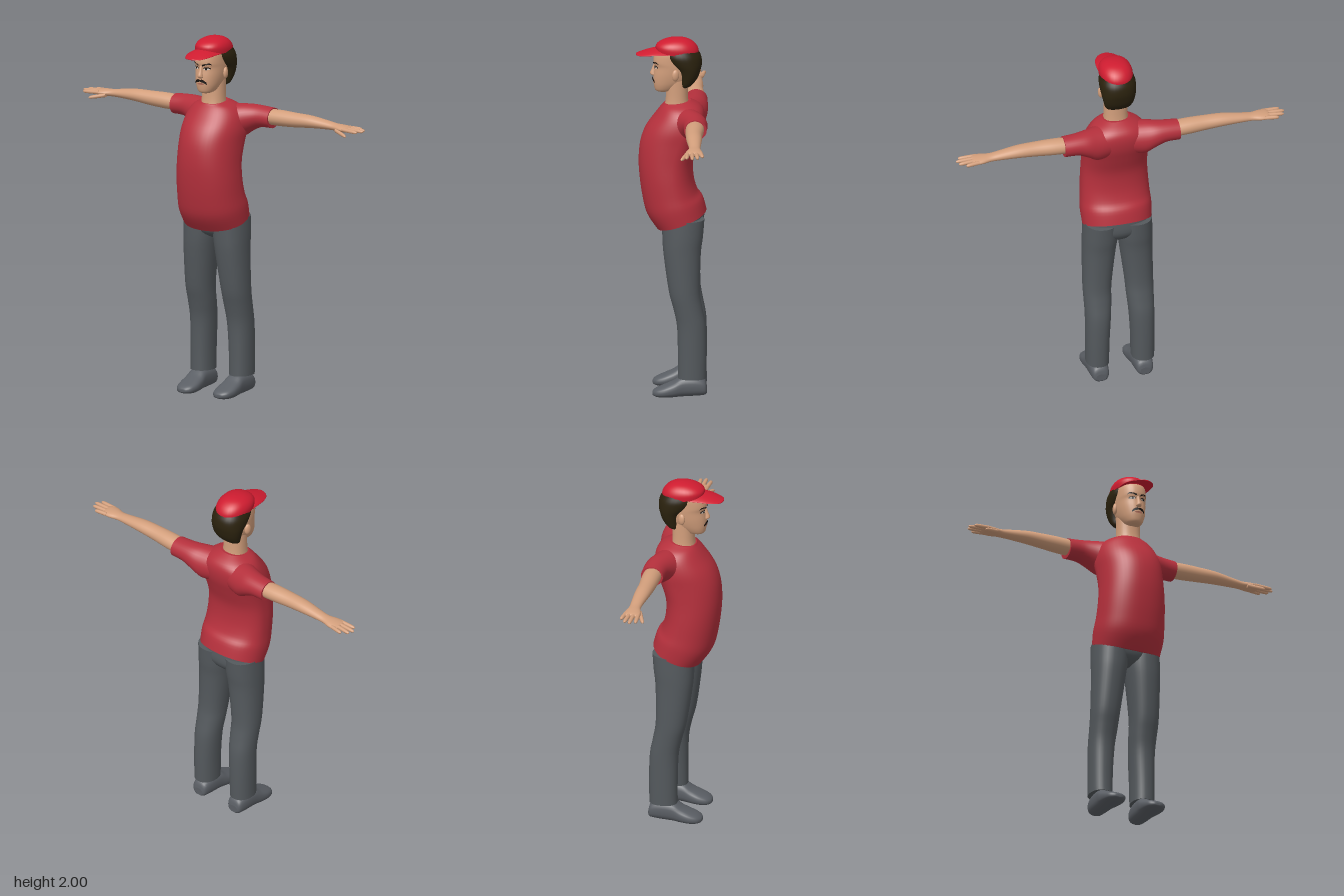
import * as THREE from 'three';

const material = (name, color) => Object.assign(new THREE.MeshStandardMaterial({ color }), { name });

// Signed power for rounded-square cross-sections
const sp = (v, e) => Math.sign(v) * Math.pow(Math.abs(v), 2 / e);

// Ring makers: one cross-section from one row of numbers
const yRing = ([y, cx, rx, front, back, slope = 0, w = 0.5], a) => {
  const zc = back + (front - back) * w;
  const s = sp(Math.sin(a), 2.2);
  const dz = s * (s > 0 ? front - zc : zc - back);
  return [cx + rx * sp(Math.cos(a), 2.2), y + slope * dz, zc + dz];
};
const xRing = ([x, y, z, ry, rz], a) => [x, y + ry * Math.cos(a), z - rz * Math.sin(a)];
const zRing = ([z, cx, rx, top, bottom], a) => [
  cx + rx * sp(Math.cos(a), 2.5), (top + bottom) / 2 - ((top - bottom) / 2) * sp(Math.sin(a), 2.5), z];

// Smoothly interpolates rows, then skins rings and closes both ends
function loft(ring, rows, n = 32, steps = 4) {
  const dense = [];
  const cr = (a, b, c, d, t) => b + 0.5 * t * (c - a + t * (2 * a - 5 * b + 4 * c - d + t * (3 * (b - c) + d - a)));
  for (let i = 0; i < rows.length - 1; i++) {
    const [a, b, c, d] = [rows[Math.max(i - 1, 0)], rows[i], rows[i + 1], rows[Math.min(i + 2, rows.length - 1)]];
    for (let k = 0; k < steps; k++) dense.push(b.map((v, j) => cr(a[j], v, c[j], d[j], k / steps)));
  }
  dense.push(rows[rows.length - 1]);
  const pos = [], index = [];
  const addRing = (row) => {
    for (let j = 0; j < n; j++) pos.push(...ring(row, (j / n) * Math.PI * 2));
  };
  dense.forEach(addRing);
  for (let i = 0; i < dense.length - 1; i++) {
    for (let j = 0; j < n; j++) {
      const a = i * n + j, b = i * n + (j + 1) % n;
      index.push(a, a + n, b, b, a + n, b + n);
    }
  }
  for (const end of [0, 1]) {
    const base = pos.length / 3;
    addRing(dense[end ? dense.length - 1 : 0]);
    for (let j = 1; j < n - 1; j++) {
      if (end) index.push(base, base + j + 1, base + j);
      else index.push(base, base + j, base + j + 1);
    }
  }
  const g = new THREE.BufferGeometry();
  g.setAttribute('position', new THREE.Float32BufferAttribute(pos, 3));
  g.setIndex(index);
  g.computeVertexNormals();
  return g;
}

// Copy reflected across x = 0 with its faces turned the right way
function mirrored(geometry) {
  const g = geometry.clone().scale(-1, 1, 1);
  const ix = g.index.array;
  for (let i = 0; i < ix.length; i += 3) [ix[i], ix[i + 1]] = [ix[i + 1], ix[i]];
  g.computeVertexNormals();
  return g;
}

export function createModel() {
  const model = new THREE.Group();
  model.name = 'standingMan';
  const shirt = material('shirtRed', 0xb5303c);
  const capRed = material('capRed', 0xcf1c30);
  const trousers = material('trouserGrey', 0x54595d);
  const shoeGrey = material('shoeGrey', 0x5a5e64);
  const skin = material('skin', 0xd39f7c);
  const hairBrown = material('hairBrown', 0x2b220e);
  const black = material('featureBlack', 0x17110d);
  const white = material('eyeWhite', 0xd9d0c6);
  const lip = material('lip', 0xb0705c);

  const add = (name, geometry, mat) => {
    const mesh = new THREE.Mesh(geometry, mat);
    mesh.name = name;
    model.add(mesh);
    return mesh;
  };
  const addPair = (name, geometry, mat) => {
    add('left' + name, geometry, mat);
    add('right' + name, mirrored(geometry), mat);
  };

  // Shirt: slanted hem, full belly, hollow lower back
  add('shirtBody', loft(yRing, [
    [0.98, 0, 0.192, 0.08, -0.19, -0.37, 0.5], [1.06, 0, 0.197, 0.135, -0.17, -0.28, 0.46],
    [1.13, 0, 0.192, 0.16, -0.14, -0.1, 0.42], [1.22, 0, 0.187, 0.175, -0.12, 0, 0.4],
    [1.32, 0, 0.181, 0.18, -0.12, 0, 0.38], [1.42, 0, 0.18, 0.17, -0.15, 0, 0.36],
    [1.5, 0, 0.182, 0.14, -0.175, 0, 0.34], [1.57, 0, 0.168, 0.09, -0.18, 0, 0.36],
    [1.615, 0, 0.13, 0.055, -0.16, 0, 0.45], [1.64, 0, 0.078, 0.042, -0.105, -0.12, 0.5],
  ], 48), shirt);
  addPair('Sleeve', loft(xRing, [
    [0.05, 1.53, -0.08, 0.09, 0.09], [0.13, 1.53, -0.1, 0.095, 0.09], [0.19, 1.55, -0.12, 0.076, 0.078],
    [0.25, 1.563, -0.13, 0.06, 0.066], [0.325, 1.562, -0.132, 0.056, 0.062],
  ]), shirt);

  // Bare arms, palms and fingers
  addPair('Arm', loft(xRing, [
    [0.28, 1.567, -0.13, 0.043, 0.05], [0.38, 1.57, -0.128, 0.044, 0.05], [0.48, 1.572, -0.125, 0.04, 0.045],
    [0.58, 1.575, -0.127, 0.034, 0.042], [0.68, 1.571, -0.13, 0.025, 0.034], [0.74, 1.567, -0.13, 0.02, 0.032],
    [0.79, 1.565, -0.128, 0.019, 0.045], [0.83, 1.565, -0.127, 0.014, 0.046], [0.845, 1.565, -0.127, 0.006, 0.038],
  ], 24), skin);
  const fingers = [
    // base x, base y, base z, tip x, tip y, tip z
    [0.81, 1.566, -0.163, 0.885, 1.564, -0.174], [0.82, 1.567, -0.14, 0.92, 1.564, -0.148],
    [0.82, 1.567, -0.117, 0.93, 1.564, -0.119], [0.81, 1.566, -0.093, 0.91, 1.562, -0.088],
    [0.765, 1.556, -0.095, 0.855, 1.538, -0.06],
  ];
  fingers.forEach(([x, y, z, tx, ty, tz], i) => {
    const rows = [[0, 0.011], [0.5, 0.0105], [0.88, 0.009], [1, 0.003]].map(([t, r]) =>
      [x + (tx - x) * t, y + (ty - y) * t, z + (tz - z) * t, r, r * 1.1]);
    addPair(i < 4 ? 'Finger' + (i + 1) : 'Thumb', loft(xRing, rows, 10, 2), skin);
  });

  // Trousers
  add('trouserSeat', loft(yRing, [
    [0.875, 0, 0.03, -0.02, -0.1], [0.905, 0, 0.12, 0.03, -0.145],
    [0.96, 0, 0.183, 0.05, -0.172], [1.06, 0, 0.175, 0.05, -0.16],
  ]), trousers);
  addPair('TrouserLeg', loft(yRing, [
    [0.11, 0.128, 0.063, -0.035, -0.19], [0.25, 0.127, 0.065, -0.035, -0.192], [0.4, 0.123, 0.07, -0.03, -0.188],
    [0.5, 0.12, 0.075, -0.01, -0.17], [0.6, 0.118, 0.079, 0.015, -0.156], [0.8, 0.105, 0.09, 0.043, -0.16],
    [0.9, 0.098, 0.096, 0.05, -0.172], [1.0, 0.095, 0.095, 0.052, -0.18],
  ]), trousers);

  // Shoes
  addPair('Shoe', loft(zRing, [
    [-0.193, 0.125, 0.028, 0.065, 0.025], [-0.18, 0.125, 0.045, 0.1, 0.015], [-0.13, 0.125, 0.053, 0.122, 0.01],
    [-0.06, 0.124, 0.056, 0.12, 0.006], [-0.01, 0.123, 0.061, 0.09, 0.002], [0.04, 0.122, 0.062, 0.067, 0],
    [0.08, 0.121, 0.05, 0.05, 0.003], [0.1, 0.12, 0.027, 0.036, 0.01], [0.104, 0.12, 0.01, 0.026, 0.016],
  ], 28), shoeGrey);

  // Neck and head
  add('neck', loft(yRing, [
    [1.6, 0, 0.072, 0.042, -0.1], [1.66, 0, 0.066, 0.032, -0.09], [1.77, 0, 0.066, 0.03, -0.09],
  ]), skin);
  const head = add('head', loft(yRing, [
    [1.698, 0, 0.026, 0.076, 0.02], [1.708, 0, 0.044, 0.09, -0.02], [1.735, 0, 0.059, 0.097, -0.06],
    [1.765, 0, 0.069, 0.1, -0.1], [1.8, 0, 0.076, 0.098, -0.12], [1.84, 0, 0.08, 0.093, -0.13],
    [1.87, 0, 0.081, 0.1, -0.13], [1.92, 0, 0.08, 0.09, -0.13], [1.95, 0, 0.068, 0.065, -0.11],
  ]), skin);
  add('nose', loft(yRing, [
    [1.785, 0, 0.009, 0.102, 0.08], [1.792, 0, 0.016, 0.114, 0.08], [1.803, 0, 0.014, 0.117, 0.08],
    [1.825, 0, 0.01, 0.108, 0.08], [1.855, 0, 0.007, 0.097, 0.08],
  ], 16), skin);
  addPair('Ear', new THREE.SphereGeometry(1, 16, 12).scale(0.013, 0.032, 0.02)
    .rotateY(0.3).translate(0.083, 1.805, -0.022), skin);

  // Hair, swept back behind the ears
  add('hair', loft(yRing, [
    [1.725, 0, 0.05, -0.05, -0.09], [1.74, 0, 0.07, -0.045, -0.115], [1.78, 0, 0.084, -0.04, -0.145],
    [1.825, 0, 0.094, -0.025, -0.16], [1.86, 0, 0.099, 0.015, -0.166], [1.9, 0, 0.099, 0.045, -0.16],
    [1.935, 0, 0.087, 0.05, -0.14],
  ]), hairBrown);

  // Cap crown and drooping brim
  add('capCrown', loft(yRing, [
    [1.915, 0, 0.09, 0.085, -0.147, 0.1], [1.945, 0, 0.09, 0.086, -0.147, 0.09], [1.97, 0, 0.079, 0.066, -0.13, 0.06],
    [1.988, 0, 0.057, 0.033, -0.1, 0.03], [1.997, 0, 0.03, 0.002, -0.066, 0], [2.0, 0, 0.004, -0.03, -0.038, 0],
  ]), capRed);
  const brim = loft(zRing, [
    [0.02, 0, 0.084, 1.944, 1.934], [0.08, 0, 0.082, 1.942, 1.932], [0.13, 0, 0.072, 1.931, 1.923],
    [0.17, 0, 0.052, 1.918, 1.911], [0.188, 0, 0.032, 1.912, 1.905], [0.195, 0, 0.008, 1.909, 1.904],
  ]);
  const bp = brim.attributes.position;
  for (let i = 0; i < bp.count; i++) bp.setY(i, bp.getY(i) - 3 * bp.getX(i) ** 2);
  brim.computeVertexNormals();
  add('capBrim', brim, capRed);

  // Face details: flat shapes laid onto the front of the head
  const ray = new THREE.Raycaster();
  head.updateMatrixWorld();
  const onFace = (points, lift) => {
    const g = new THREE.ShapeGeometry(new THREE.Shape(points.map(([x, y]) => new THREE.Vector2(x, y))));
    const p = g.attributes.position;
    for (let i = 0; i < p.count; i++) {
      ray.set(new THREE.Vector3(p.getX(i), p.getY(i), 1), new THREE.Vector3(0, 0, -1));
      const hit = ray.intersectObject(head)[0];
      p.setZ(i, (hit ? hit.point.z : 0.08) + lift);
    }
    g.computeVertexNormals();
    return g;
  };
  const oval = (cx, cy, rx, ry) => Array.from({ length: 16 }, (_, i) => {
    const a = (i / 16) * Math.PI * 2;
    return [cx + rx * Math.cos(a), cy + ry * Math.sin(a)];
  });
  addPair('EyeLine', onFace(oval(0.033, 1.84, 0.018, 0.008), 0.002), black);
  addPair('Eye', onFace(oval(0.033, 1.838, 0.015, 0.0055), 0.004), white);
  addPair('Iris', onFace(oval(0.032, 1.838, 0.0055, 0.0055), 0.006), black);
  addPair('Eyebrow', onFace([[0.012, 1.853], [0.03, 1.859], [0.048, 1.864], [0.06, 1.859],
    [0.05, 1.872], [0.03, 1.868], [0.012, 1.862]], 0.004), black);
  addPair('Moustache', onFace([[0, 1.768], [0.012, 1.764], [0.025, 1.76], [0.038, 1.751],
    [0.036, 1.764], [0.025, 1.774], [0.012, 1.78], [0, 1.777]], 0.006), black);
  add('mouth', onFace(oval(0, 1.754, 0.022, 0.006), 0.003), lip);

  return model;
}
